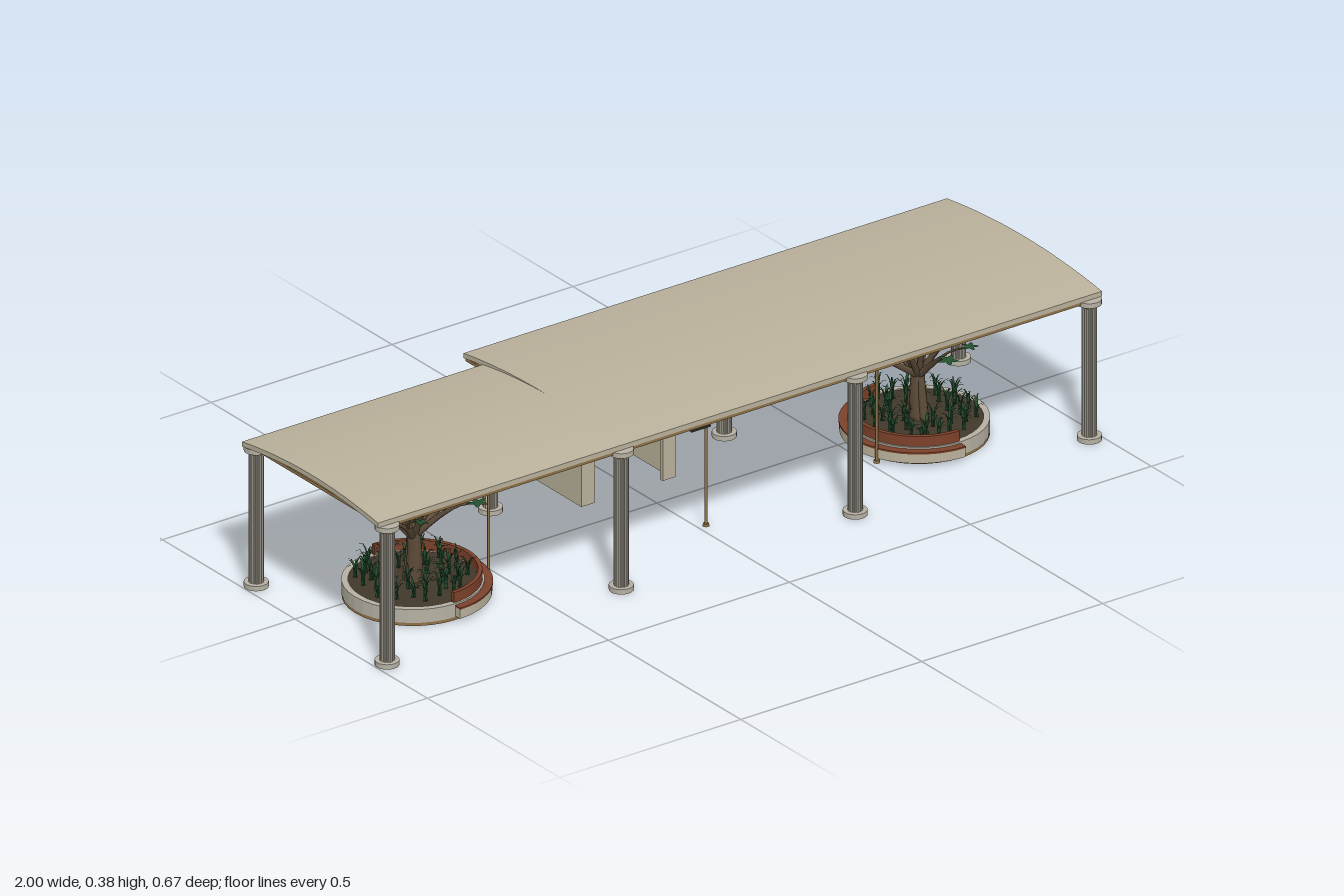
import * as THREE from 'three';
import { mergeGeometries } from 'three/addons/utils/BufferGeometryUtils.js';

const mat = (name, color) => Object.assign(new THREE.MeshStandardMaterial({ color }), { name });

export function createModel() {
  const model = new THREE.Group();
  const stone = mat('stone', 0xbab19b);
  const columnStone = mat('columnStone', 0xb5b0a2);
  const timber = mat('timber', 0x8f7248);
  const redWood = mat('redWood', 0x7c412a);
  const bark = mat('bark', 0x5e4d3a);
  const leaf = mat('leaf', 0x24502f);
  const soil = mat('soil', 0x40382a);
  const dark = mat('darkMetal', 0x3a352c);
  columnStone.flatShading = true;
  leaf.side = THREE.DoubleSide;

  const add = (parent, name, geo, material, x = 0, y = 0, z = 0) => {
    const m = new THREE.Mesh(geo, material);
    m.name = name;
    m.position.set(x, y, z);
    parent.add(m);
    return m;
  };
  // box given by its minimum and maximum corners
  const box = (parent, name, material, a, b) => add(parent, name,
    new THREE.BoxGeometry(b[0] - a[0], b[1] - a[1], b[2] - a[2]), material,
    (a[0] + b[0]) / 2, (a[1] + b[1]) / 2, (a[2] + b[2]) / 2);
  let seed = 7;
  const rnd = () => (seed = (seed * 16807) % 2147483647) / 2147483647;

  // Curved roof: arched slab extruded along x
  const roof = (name, x0, x1, zFront, zBack) => {
    const n = 16, top = [], bottom = [];
    for (let i = 0; i <= n; i++) {
      const t = i / n, z = zFront + (zBack - zFront) * t;
      const y = 0.361 + 0.021 * 4 * t * (1 - t);
      top.push(new THREE.Vector2(-z, y));
      bottom.unshift(new THREE.Vector2(-z, y - 0.012));
    }
    const geo = new THREE.ExtrudeGeometry(new THREE.Shape([...top, ...bottom]),
      { depth: x1 - x0, bevelEnabled: false });
    geo.rotateY(Math.PI / 2);
    add(model, name, geo, stone, x0);
  };
  roof('narrowRoof', -1, -0.335, 0.314, -0.2);
  roof('wideRoof', -0.335, 1, 0.314, -0.272);

  // Fluted columns
  const columnX = [-0.97, -0.323, 0.323, 0.97];
  const flutes = [];
  for (let i = 0; i < 48; i++) {
    const a = i / 48 * Math.PI * 2, r = i % 3 === 0 ? 0.0145 : 0.0172;
    flutes.push(new THREE.Vector2(Math.cos(a) * r, Math.sin(a) * r));
  }
  const shaft = new THREE.ExtrudeGeometry(new THREE.Shape(flutes), { depth: 0.32, bevelEnabled: false });
  shaft.rotateX(-Math.PI / 2);
  const disc = new THREE.CylinderGeometry(0.028, 0.028, 0.012, 20);
  const neck = new THREE.CylinderGeometry(0.019, 0.017, 0.007, 20);
  for (const x of columnX) {
    for (const z of [0.307, -0.187]) {
      const column = new THREE.Group();
      column.name = 'column';
      column.position.set(x, 0, z);
      add(column, 'columnBase', disc, columnStone, 0, 0.006);
      add(column, 'columnShaft', shaft, columnStone, 0, 0.011);
      add(column, 'columnNeck', neck, timber, 0, 0.3335);
      add(column, 'columnCapital', disc, columnStone, 0, 0.343);
      model.add(column);
    }
    // cross beams
    box(model, 'crossBeam', timber, [x - 0.008, 0.341, x < -0.5 ? -0.2 : -0.27], [x + 0.008, 0.349, 0.312]);
  }
  for (const z of [0.305, -0.187])
    box(model, 'longBeam', timber, [-0.995, 0.341, z - 0.007], [0.995, 0.349, z + 0.007]);

  // Kiosk: walls without a floor, open front and overhanging lid
  const kiosk = new THREE.Group();
  kiosk.name = 'kiosk';
  model.add(kiosk);
  box(kiosk, 'kioskLid', stone, [-0.153, 0.231, -0.334], [0.117, 0.243, -0.078]);
  box(kiosk, 'kioskBackWall', stone, [-0.148, 0, -0.329], [0.112, 0.231, -0.319]);
  for (const [x0, x1, inner0, inner1] of [[-0.148, -0.138, -0.148, -0.11], [0.102, 0.112, 0.077, 0.112]]) {
    box(kiosk, 'kioskSideWall', stone, [x0, 0, -0.32], [x1, 0.231, -0.084]);
    box(kiosk, 'kioskFrontPost', stone, [inner0, 0, -0.093], [inner1, 0.231, -0.083]);
  }
  box(kiosk, 'kioskLintel', stone, [-0.11, 0.205, -0.093], [0.077, 0.231, -0.083]);
  for (const y of [0.05, 0.09, 0.13])
    box(kiosk, 'kioskShelf', stone, [-0.138, y, -0.319], [0.102, y + 0.005, -0.28]);

  // Slim posts with a small arm on top
  for (const [x, z, a, b] of [[-0.543, 0.107, -0.025, 0.05], [0.02, 0.158, -0.045, 0.008], [0.518, 0.122, -0.05, 0.02]]) {
    const post = new THREE.Group();
    post.name = 'lampPost';
    post.position.set(x, 0, z);
    add(post, 'postPole', new THREE.CylinderGeometry(0.0035, 0.0035, 0.248, 8), timber, 0, 0.124);
    add(post, 'postFoot', new THREE.CylinderGeometry(0.007, 0.008, 0.006, 10), timber, 0, 0.003);
    box(post, 'postArm', dark, [a, 0.247, -0.008], [b, 0.251, 0.008]);
    model.add(post);
  }

  // Half ring on the +x side
  const halfRing = (r0, r1, h) => {
    const s = new THREE.Shape();
    s.absarc(0, 0, r1, -Math.PI / 2, Math.PI / 2, false);
    s.absarc(0, 0, r0, Math.PI / 2, -Math.PI / 2, true);
    const g = new THREE.ExtrudeGeometry(s, { depth: h, bevelEnabled: false, curveSegments: 20 });
    return g.rotateX(-Math.PI / 2);
  };
  // Tapered branch along a curve
  const branch = (points, r0, r1) => {
    const curve = new THREE.CatmullRomCurve3(points), n = 8, sides = 7;
    const g = new THREE.TubeGeometry(curve, n, 1, sides, false), p = g.attributes.position;
    const v = new THREE.Vector3();
    for (let i = 0; i < p.count; i++) {
      const t = Math.floor(i / (sides + 1)) / n, c = curve.getPointAt(t);
      v.fromBufferAttribute(p, i).sub(c).multiplyScalar(r0 + (r1 - r0) * t).add(c);
      p.setXYZ(i, v.x, v.y, v.z);
    }
    return g;
  };
  // Flat lobed leaf pad
  const pad = (x, y, z, size) => {
    const pts = [];
    for (let i = 0; i < 20; i++) {
      const a = i / 20 * Math.PI * 2, r = size * (0.75 + 0.3 * Math.cos(a * 5));
      pts.push(new THREE.Vector2(Math.cos(a) * r, Math.sin(a) * r));
    }
    const g = new THREE.ShapeGeometry(new THREE.Shape(pts));
    return g.rotateX(-Math.PI / 2).rotateZ((rnd() - 0.5) * 0.25).rotateY(rnd() * 6).translate(x, y, z);
  };
  const V = (a, r, y) => new THREE.Vector3(Math.cos(a) * r, y, Math.sin(a) * r);

  const makeTree = (parent) => {
    const wood = [], pads = [];
    wood.push(branch([V(0, 0, 0.035), V(1, 0.004, 0.1), V(2, 0.004, 0.175)], 0.021, 0.014));
    wood.push(branch([V(4.5, 0.016, 0.035), V(4.6, 0.01, 0.1), V(4, 0.003, 0.17)], 0.012, 0.009));
    for (let i = 0; i < 11; i++) {
      const a = i * 2.4, k = i / 10;
      const reach = 0.19 - 0.1 * k, high = 0.245 + 0.05 * k;
      wood.push(branch([V(a, 0.002, 0.145), V(a, reach * 0.35, 0.19 + 0.03 * k),
        V(a + 0.1, reach * 0.72, high - 0.015), V(a + 0.15, reach, high)], 0.009, 0.002));
      const side = V(a - 0.3, reach * 0.9, high + 0.008);
      wood.push(branch([V(a, reach * 0.35, 0.19 + 0.03 * k), V(a - 0.15, reach * 0.65, high - 0.012), side], 0.004, 0.0015));
      const tip = V(a + 0.15, reach, high + 0.002);
      pads.push(pad(tip.x, tip.y, tip.z, 0.025), pad(side.x, side.y + 0.001, side.z, 0.02));
    }
    add(parent, 'treeTrunkAndBranches', mergeGeometries(wood), bark);
    add(parent, 'treeLeafPads', mergeGeometries(pads), leaf);
  };

  // Tufts of arching leaves
  const makePlants = (parent) => {
    const blades = [];
    for (let i = 0; i < 34; i++) {
      const a = i * 2.4, r = 0.04 + 0.09 * Math.sqrt(i / 34), c = V(a, r, 0.042);
      const size = 0.8 + rnd() * 0.3;
      for (let j = 0; j < 7; j++) {
        const g = new THREE.PlaneGeometry(0.009, 1, 1, 4), p = g.attributes.position;
        const h = (0.03 + 0.025 * rnd()) * size;
        for (let k = 0; k < p.count; k++) {
          const t = p.getY(k) + 0.5;
          p.setXYZ(k, p.getX(k) * (1.05 - t), h * (1.9 * t - 0.9 * t * t * t), 0.022 * t * t);
        }
        g.computeVertexNormals();
        blades.push(g.rotateY(j * 0.9 + rnd()).translate(c.x, c.y, c.z));
      }
    }
    add(parent, 'gardenPlants', mergeGeometries(blades), leaf);
  };

  // Round planters with a half-ring bench facing the middle
  const rim = [[0.145, 0.008], [0.16, 0.008], [0.16, 0.041], [0.145, 0.041], [0.145, 0.008]]
    .map(([x, y]) => new THREE.Vector2(x, y));
  for (const [x, turn] of [[-0.715, 0], [0.682, Math.PI]]) {
    const planter = new THREE.Group();
    planter.name = 'planter';
    planter.position.set(x, 0, 0.056);
    planter.rotation.y = turn;
    add(planter, 'planterBase', new THREE.CylinderGeometry(0.159, 0.159, 0.009, 36), timber, 0, 0.0045);
    add(planter, 'planterRim', new THREE.LatheGeometry(rim, 36), columnStone);
    add(planter, 'planterSoil', new THREE.CylinderGeometry(0.146, 0.146, 0.03, 36), soil, 0, 0.024);
    add(planter, 'benchBody', halfRing(0.158, 0.177, 0.023), stone, 0, 0.01);
    add(planter, 'benchSeat', halfRing(0.158, 0.179, 0.004), redWood, 0, 0.033);
    add(planter, 'benchBack', halfRing(0.145, 0.155, 0.026), redWood, 0, 0.04);
    makePlants(planter);
    makeTree(planter);
    model.add(planter);
  }
  return model;
}
